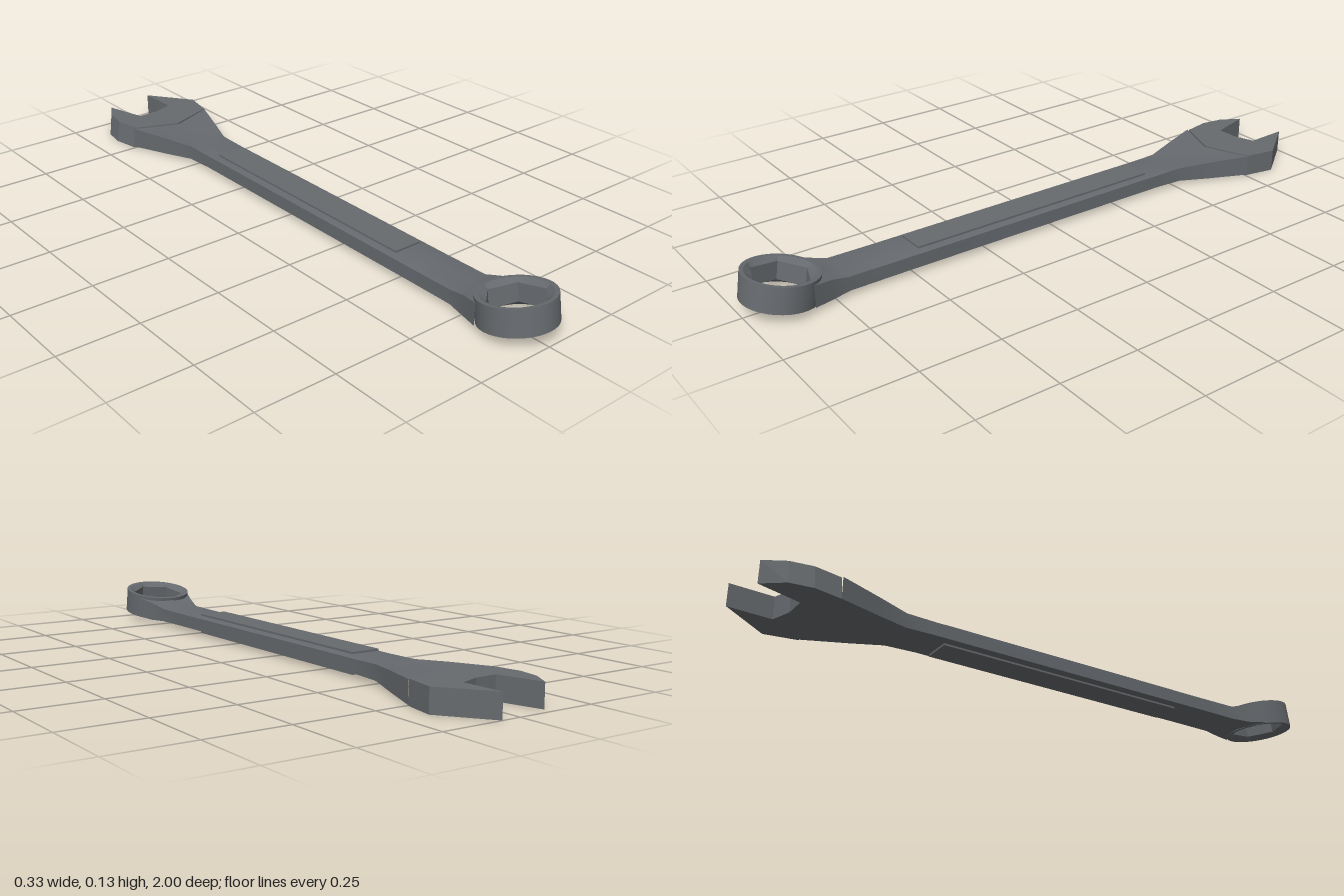
import * as THREE from 'three';
import { toCreasedNormals } from 'three/addons/utils/BufferGeometryUtils.js';

const steel = new THREE.MeshStandardMaterial({ color: 0x666a6e });
steel.name = 'dark steel';

// Skin a list of closed loops, each an array of [x, y, z]
function loft(loops, crease) {
  const pos = [];
  for (let s = 0; s < loops.length - 1; s++) {
    const a = loops[s], b = loops[s + 1], n = a.length;
    for (let i = 0; i < n; i++) {
      const j = (i + 1) % n;
      pos.push(...a[i], ...b[i], ...a[j], ...a[j], ...b[i], ...b[j]);
    }
  }
  const g = new THREE.BufferGeometry();
  g.setAttribute('position', new THREE.Float32BufferAttribute(pos, 3));
  return toCreasedNormals(g, crease);
}

function addMesh(group, name, geometry) {
  const mesh = new THREE.Mesh(geometry, steel);
  mesh.name = name;
  group.add(mesh);
  return mesh;
}

// Bevelled cross-section; zMid bends its middle away from its sides
function section({ z, zMid = z, w, c, side, face }) {
  const [s0, s1] = side, [f0, f1] = face;
  return [
    [-w, s0], [-c, f0], [0, f0], [c, f0], [w, s0],
    [w, s1], [c, f1], [0, f1], [-c, f1], [-w, s1],
  ].map(([x, y]) => [x, y, THREE.MathUtils.lerp(zMid, z, Math.abs(x) / w)]);
}

// Flat outline given as [x, z], extruded upwards
function plate(points, height) {
  const shape = new THREE.Shape(points.map(([x, z]) => new THREE.Vector2(x, -z)));
  return new THREE.ExtrudeGeometry(shape, { depth: height, bevelEnabled: false }).rotateX(-Math.PI / 2);
}

// Loop of the ring: round, or hexagonal for the socket
function ringLoop(y, radius, hex = false) {
  const n = 36, turn = THREE.MathUtils.degToRad(80), sector = Math.PI / 3;
  return Array.from({ length: n }, (_, i) => {
    const a = (i / n) * Math.PI * 2;
    const r = hex ? radius * Math.cos(sector / 2) / Math.cos((a % sector) - sector / 2) : radius;
    return [r * Math.cos(a + turn), y, r * Math.sin(a + turn)];
  });
}

export function createModel() {
  const model = new THREE.Group();
  model.name = 'combinationWrench';

  // Shank with both flared necks
  addMesh(model, 'shank', loft([
    { z: 0.83, zMid: 0.783, w: 0.1, c: 0.05, side: [0.02, 0.088], face: [0.013, 0.085] },
    { z: 0.77, zMid: 0.755, w: 0.08, c: 0.042, side: [0.014, 0.076], face: [0.011, 0.074] },
    { z: 0.71, w: 0.067, c: 0.04, side: [0.016, 0.06], face: [0.014, 0.062] },
    { z: 0.56, w: 0.067, c: 0.047, side: [0.017, 0.059], face: [0.011, 0.065] },
    { z: -0.42, w: 0.067, c: 0.047, side: [0.017, 0.059], face: [0.011, 0.065] },
    { z: -0.52, w: 0.069, c: 0.03, side: [0.014, 0.06], face: [0.018, 0.056] },
    { z: -0.62, w: 0.103, c: 0.045, side: [0.008, 0.065], face: [0.013, 0.06] },
    { z: -0.755, zMid: -0.7, w: 0.149, c: 0.06, side: [0.002, 0.069], face: [0.004, 0.066] },
  ].map(section), 0.55));

  // Thin raised grip panels, above and below
  for (const [name, y] of [['topPanel', 0.067], ['bottomPanel', 0.009]]) {
    addMesh(model, name, new THREE.BoxGeometry(0.094, 0.008, 0.86)).position.set(0, y, 0.045);
  }

  // Open jaw, its right flank leaning inwards at the top
  const jaw = plate([
    [-0.152, -0.755], [0, -0.7], [0.148, -0.755], [0.167, -0.855], [0.06, -1],
    [0.065, -0.865], [0, -0.842], [-0.07, -0.84], [-0.108, -0.975], [-0.157, -0.91], [-0.168, -0.84],
  ], 0.071);
  const p = jaw.attributes.position;
  for (let i = 0; i < p.count; i++) {
    if (p.getX(i) < -0.14 && p.getY(i) > 0.01) p.setX(i, p.getX(i) + 0.012);
  }
  jaw.computeVertexNormals();
  addMesh(model, 'openJaw', jaw);

  // Tilted box end with a chamfered hexagonal socket
  const ring = addMesh(model, 'ringEnd', loft([
    ringLoop(-0.04, 0.111), ringLoop(0.04, 0.111), ringLoop(0.04, 0.099),
    ringLoop(0.028, 0.088, true), ringLoop(-0.028, 0.088, true),
    ringLoop(-0.04, 0.099), ringLoop(-0.04, 0.111),
  ], 0.45));
  ring.position.set(0, 0.0675, 0.884);
  ring.rotation.x = -0.165;

  return model;
}
